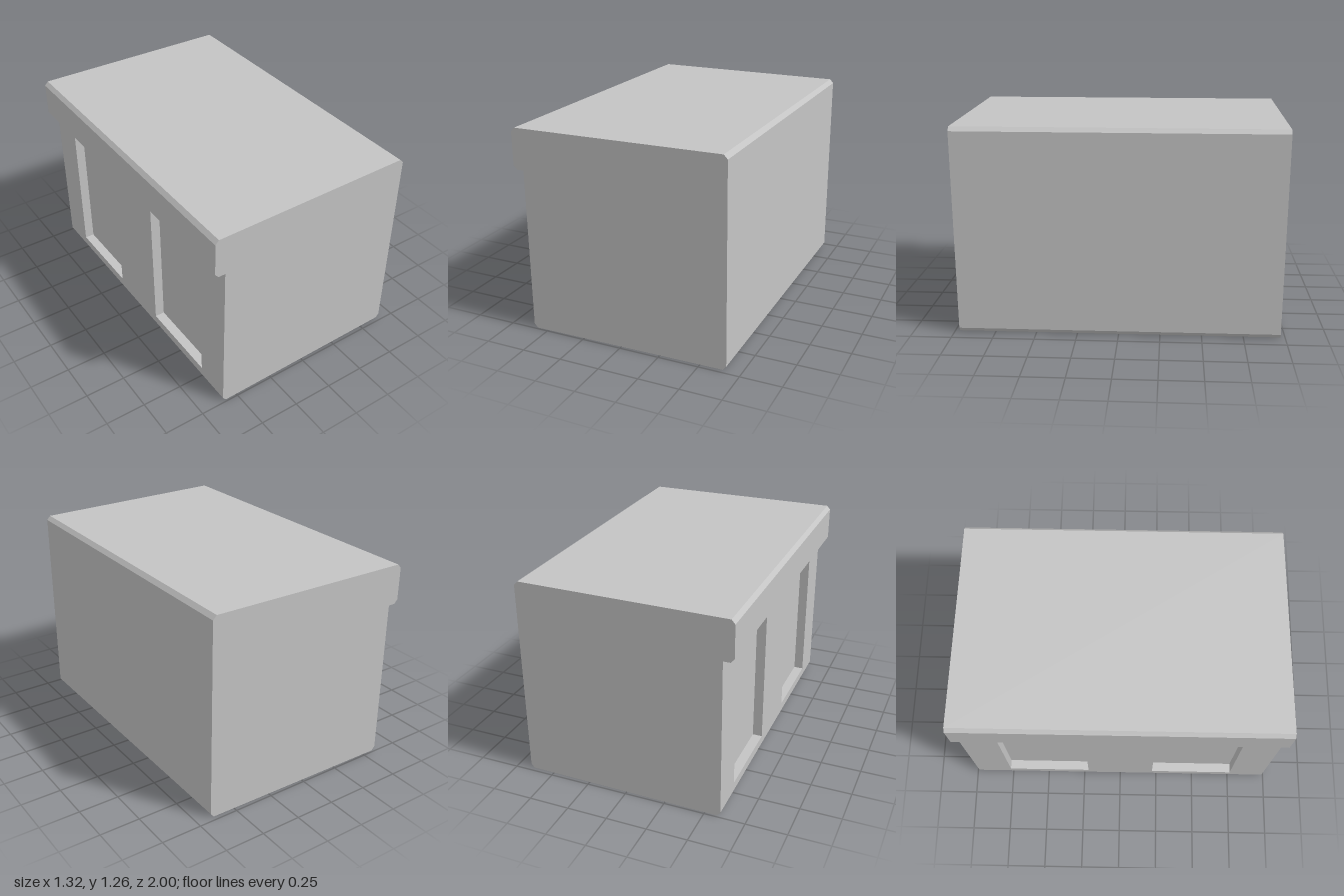
import * as THREE from 'three';

// End profile, counter-clockwise: chamfered block with an overhanging fascia on one side
const PROFILE = [
  [-0.575, 0], [0.64, 0], [0.66, 0.025], [0.655, 1.235], [0.632, 1.26],
  [-0.64, 1.26], [-0.662, 1.235], [-0.662, 1.035], [-0.64, 1.01],
  [-0.597, 1.01], [-0.597, 0.025],
];
const WALL_EDGE = 9; // profile edge that carries the recessed doorways
const WALL_X = -0.597, PANE_X = -0.537;

// The ends lean outwards slightly towards the top and the fascia
const endZ = (x, y) => 0.98 - 0.0135 * x + 0.0085 * y;

function makeMesh(name, material, build) {
  const positions = [];
  const tri = (...points) => points.forEach((p) => positions.push(...p));
  const quad = (a, b, c, d) => { tri(a, b, c); tri(a, c, d); };
  build(quad, tri);
  const geometry = new THREE.BufferGeometry();
  geometry.setAttribute('position', new THREE.Float32BufferAttribute(positions, 3));
  geometry.computeVertexNormals();
  const mesh = new THREE.Mesh(geometry, material);
  mesh.name = name;
  return mesh;
}

export function createModel() {
  const group = new THREE.Group();
  group.name = 'building';
  const grey = new THREE.MeshStandardMaterial({ color: 0xc4c4c4 });
  grey.name = 'plain grey';

  const front = PROFILE.map(([x, y]) => [x, y, endZ(x, y)]);
  const back = PROFILE.map(([x, y]) => [x, y, -endZ(x, y)]);

  // Roof, floor, rear wall, fascia and chamfers
  group.add(makeMesh('shell', grey, (quad) => {
    for (let i = 0; i < PROFILE.length; i++) {
      if (i === WALL_EDGE) continue;
      const j = (i + 1) % PROFILE.length;
      quad(front[i], back[i], back[j], front[j]);
    }
  }));

  // Two end walls
  const contour = PROFILE.map(([x, y]) => new THREE.Vector2(x, y));
  group.add(makeMesh('endWalls', grey, (quad, tri) => {
    for (const [a, b, c] of THREE.ShapeUtils.triangulateShape(contour, [])) {
      tri(front[a], front[b], front[c]);
      tri(back[a], back[c], back[b]);
    }
  }));

  // Wall split into a grid, leaving two doorway cells open
  const zs = [-1, -0.76, -0.22, 0.22, 0.76, 1];
  const ys = [0.025, 0.08, 0.945, 1.01];
  const isDoor = (i, j) => j === 1 && (i === 1 || i === 3);
  const cell = (i, j, x) => [[i, j], [i + 1, j], [i + 1, j + 1], [i, j + 1]].map(([a, b]) => {
    const atEnd = a === 0 || a === zs.length - 1;
    return [x, ys[b], atEnd ? zs[a] * endZ(x, ys[b]) : zs[a]];
  });
  group.add(makeMesh('doorWall', grey, (quad) => {
    for (let i = 0; i < zs.length - 1; i++) {
      for (let j = 0; j < ys.length - 1; j++) {
        if (!isDoor(i, j)) quad(...cell(i, j, WALL_X));
      }
    }
  }));

  // Recessed doorways: back pane and four reveals
  for (const i of [1, 3]) {
    group.add(makeMesh('doorRecess', grey, (quad) => {
      const outer = cell(i, 1, WALL_X), inner = cell(i, 1, PANE_X);
      quad(...inner);
      for (let k = 0; k < 4; k++) {
        const n = (k + 1) % 4;
        quad(outer[k], outer[n], inner[n], inner[k]);
      }
    }));
  }
  return group;
}
